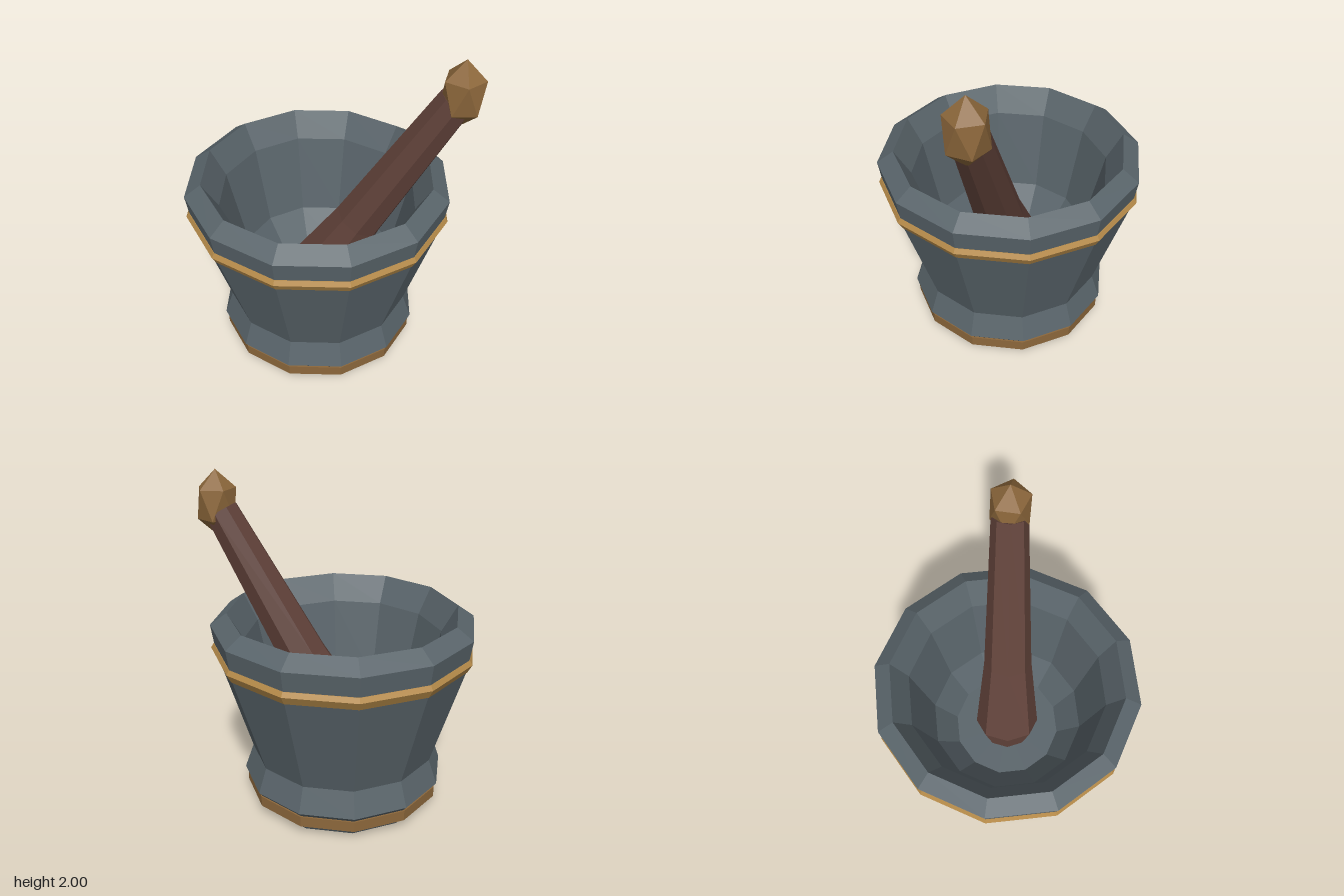
import * as THREE from 'three';
import { ConvexGeometry } from 'three/addons/geometries/ConvexGeometry.js';

const material = (name, color) => Object.assign(new THREE.MeshStandardMaterial({ color }), { name });

// Faceted solid of revolution from [radius, height] pairs
function turned(name, profile, sides, mat, phiStart = 0) {
  const points = profile.map(([r, y]) => new THREE.Vector2(r, y));
  const geometry = new THREE.LatheGeometry(points, sides, phiStart).toNonIndexed();
  geometry.computeVertexNormals();
  const mesh = new THREE.Mesh(geometry, mat);
  mesh.name = name;
  return mesh;
}

export function createModel() {
  const stone = material('slate stone', 0x59646a);
  const brass = material('bright brass', 0xb58a49);
  const bronze = material('dark bronze', 0x8c673b);
  const wood = material('dark wood', 0x5e4038);

  const model = new THREE.Group();
  model.name = 'mortarAndPestle';

  // Mortar: footed bowl with a hollow, twelve sides
  const mortar = new THREE.Group();
  mortar.name = 'mortar';
  mortar.position.x = -0.055;
  mortar.add(turned('bowl', [
    [0, 0], [0.545, 0], [0.58, 0.06], [0.605, 0.13], [0.63, 0.16], [0.575, 0.315],
    [0.765, 0.95], [0.778, 1.03], [0.795, 1.145], [0.695, 1.215],
    [0.6, 1.05], [0.485, 0.55], [0.345, 0.36], [0, 0.36],
  ], 12, stone));

  // Metal bands around rim and foot
  mortar.add(turned('rimBand', [
    [0.74, 0.95], [0.77, 0.95], [0.797, 1.0], [0.781, 1.027], [0.74, 1.027],
  ], 12, brass));
  mortar.add(turned('footBand', [
    [0.55, 0.063], [0.615, 0.063], [0.615, 0.13], [0.55, 0.13],
  ], 12, bronze));
  model.add(mortar);

  // Pestle: swollen head and tapering handle, leaning on the rim
  const pestle = turned('pestleHandle', [
    [0, -0.12], [0.14, -0.12], [0.205, 0], [0.15, 0.5], [0.105, 1.52], [0, 1.52],
  ], 8, wood, Math.PI / 18);
  pestle.position.set(-0.05, 0.44, 0);
  const lean = new THREE.Vector3(0.57, 1, -0.075).normalize();
  pestle.quaternion.setFromUnitVectors(new THREE.Vector3(0, 1, 0), lean);
  model.add(pestle);

  // Knob: stretched twenty-faced gem, two staggered rings of five between poles
  const corners = [new THREE.Vector3(0, 0.2, 0), new THREE.Vector3(0, -0.2, 0)];
  for (let i = 0; i < 10; i++) {
    const a = (i * Math.PI) / 5;
    corners.push(new THREE.Vector3(0.118 * Math.cos(a), i % 2 ? -0.0895 : 0.0895, 0.118 * Math.sin(a)));
  }
  const knob = new THREE.Mesh(new ConvexGeometry(corners), bronze);
  knob.name = 'pestleKnob';
  knob.position.set(0.728, 1.8, -0.1);
  model.add(knob);

  return model;
}
